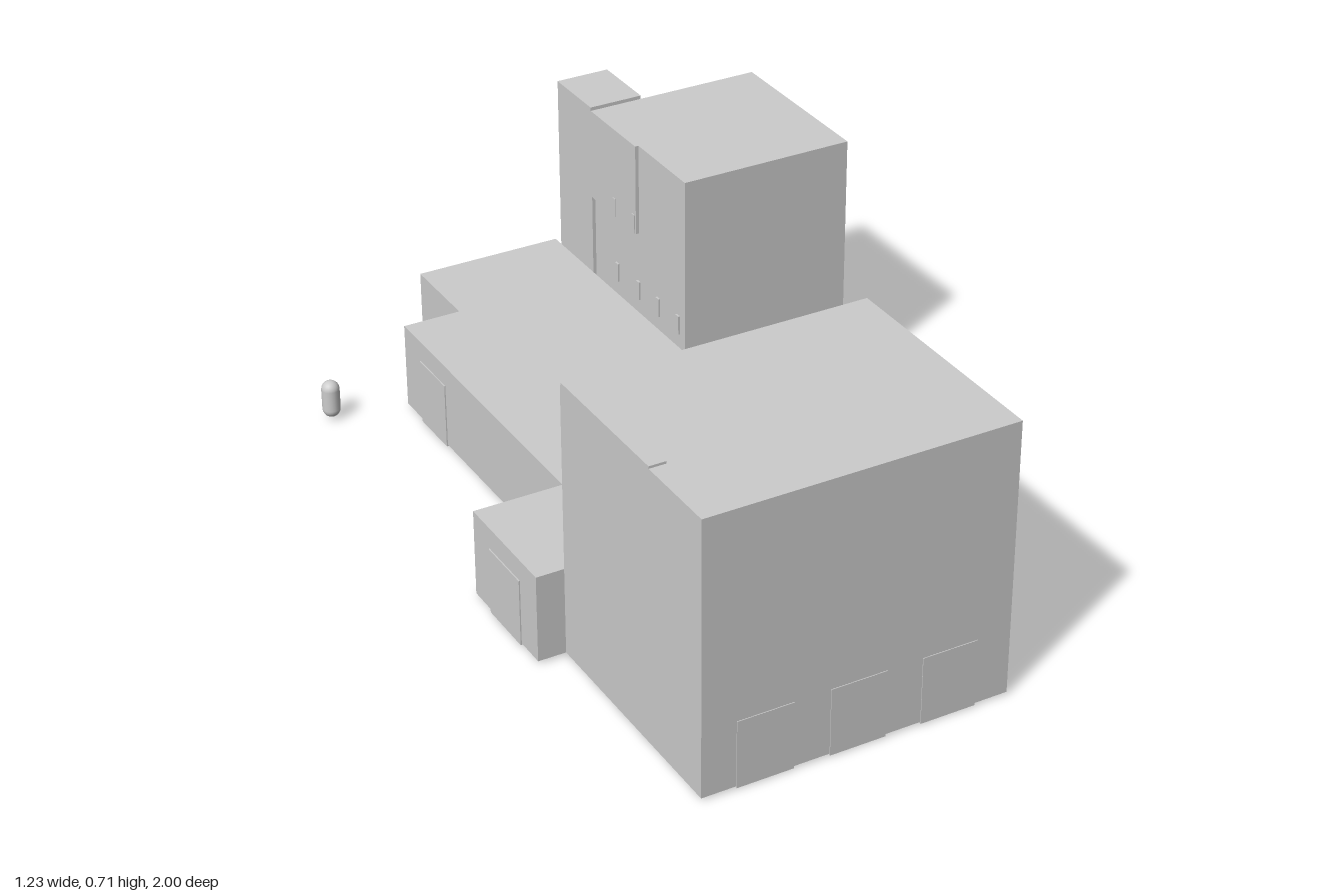
import * as THREE from 'three';

export function createModel() {
  const model = new THREE.Group();
  model.name = 'buildingComplex';
  const grey = new THREE.MeshStandardMaterial({ color: 0xcccccc });
  grey.name = 'plain grey';

  const add = (name, geometry) => {
    const mesh = new THREE.Mesh(geometry, grey);
    mesh.name = name;
    model.add(mesh);
    return mesh;
  };
  // Box given by its lower and upper limits on each axis
  const block = (name, x0, x1, y0, y1, z0, z1) =>
    add(name, new THREE.BoxGeometry(x1 - x0, y1 - y0, z1 - z0))
      .position.set((x0 + x1) / 2, (y0 + y1) / 2, (z0 + z1) / 2);

  const base = 0.007;

  // Low wing: stepped floor plan in (x, z), raised to the roof height
  const plan = [
    [-0.615, 0.39], [0.225, 0.39], [0.225, -0.23], [0.155, -0.23], [0.155, -0.997],
    [-0.235, -0.997], [-0.235, -0.77], [-0.387, -0.77], [-0.387, 0.08], [-0.615, 0.08],
  ];
  const shape = new THREE.Shape(plan.map(([x, z]) => new THREE.Vector2(x, -z)));
  const wing = new THREE.ExtrudeGeometry(shape, { depth: 0.23 - base, bevelEnabled: false });
  wing.rotateX(-Math.PI / 2).translate(0, base, 0);
  add('lowWing', wing);

  // Tall volumes
  block('mainHall', -0.545, 0.225, base, 0.7, 0.39, 0.998);
  block('tower', 0.155, 0.61, base, 0.695, -0.77, -0.31);
  block('stairTower', 0.155, 0.297, base, 0.695, -0.965, -0.787);

  // Raised strip along the hall roof
  block('roofStrip', -0.545, -0.503, 0.7, 0.706, 0.394, 0.78);

  // Doors, as thin plates reaching the ground
  for (const x of [-0.46, -0.23, 0]) block('frontDoor', x, x + 0.14, 0.003, 0.175, 0.996, 1);
  block('backDoor', -0.11, 0.03, 0.003, 0.175, -1, -0.995);
  block('sideDoor', 0.223, 0.228, 0, 0.175, 0.08, 0.23);
  block('annexDoor', -0.618, -0.613, 0.003, 0.175, 0.16, 0.31);
  block('wingDoor', -0.39, -0.385, 0.003, 0.175, -0.68, -0.54);

  // Inner face of the tower: upper panel and small windows
  block('towerPanel', 0.146, 0.156, 0.455, 0.695, -0.77, -0.54);
  for (const z of [-0.66, -0.56]) block('upperWindow', 0.144, 0.147, 0.455, 0.505, z, z + 0.015);
  for (const z of [-0.66, -0.55, -0.45, -0.35]) block('lowerWindow', 0.15, 0.156, 0.27, 0.32, z, z + 0.015);

  // Floor lines on the outer face of the tower
  for (const y of [0.12, 0.33]) {
    for (let i = 0; i < 10; i++) {
      const z = -0.76 + i * 0.045;
      block('floorLine', 0.608, 0.6115, y, y + 0.003, z, z + 0.03);
    }
  }

  // Free-standing post with rounded ends
  add('post', new THREE.CapsuleGeometry(0.023, 0.054, 8, 20)).position.set(-0.578, 0.057, -0.81);

  return model;
}
